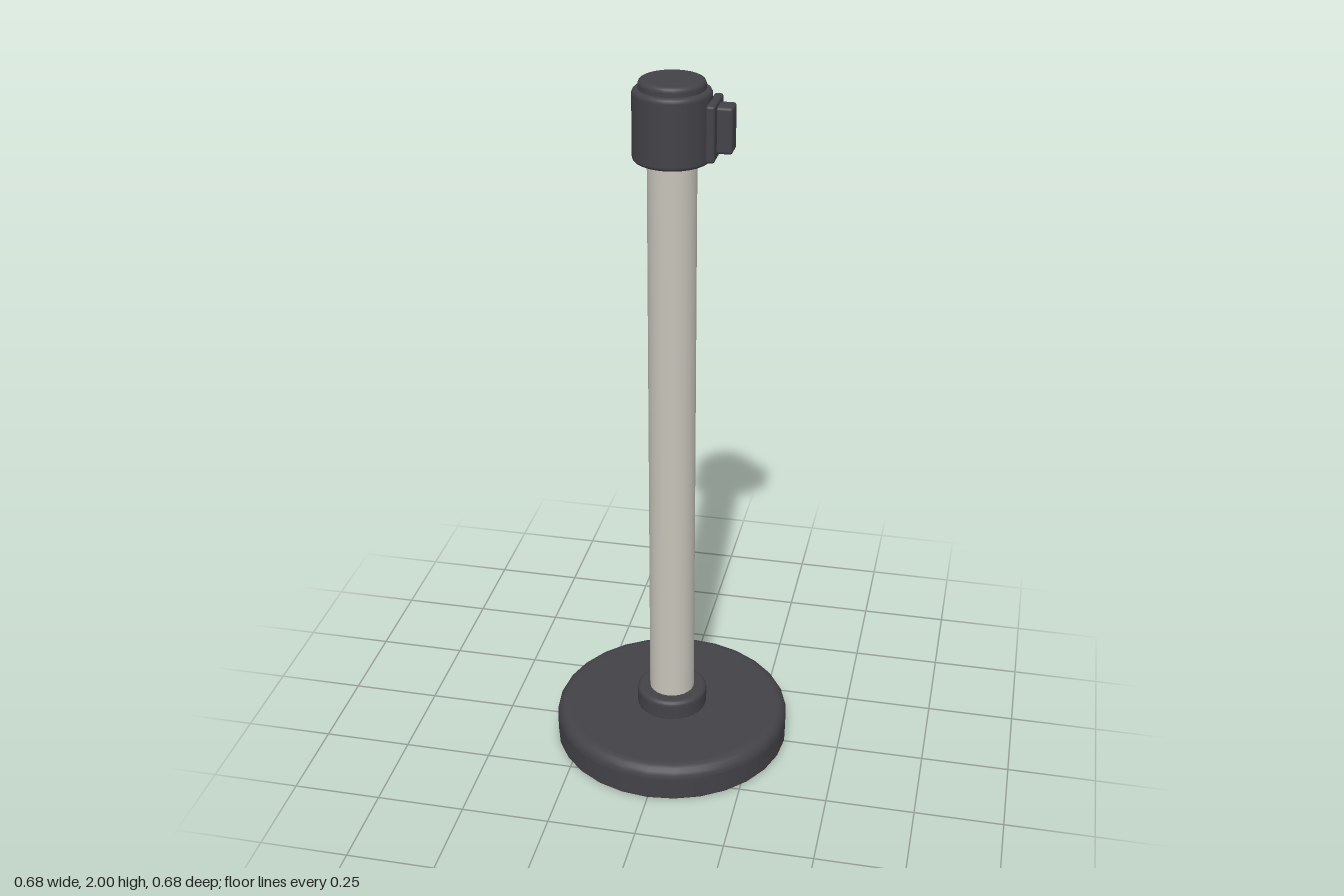
import * as THREE from 'three';
import { RoundedBoxGeometry } from 'three/addons/geometries/RoundedBoxGeometry.js';

const black = new THREE.MeshStandardMaterial({ color: 0x434247 });
black.name = 'black plastic';
const steel = new THREE.MeshStandardMaterial({ color: 0xc6c3b9 });
steel.name = 'brushed steel';

function add(group, name, geometry, material) {
  const mesh = new THREE.Mesh(geometry, material);
  mesh.name = name;
  group.add(mesh);
  return mesh;
}

// Turned disc with rounded rims; extra rings beside each rim keep the flats flat
function disc(radius, y0, y1, bottomRound, topRound, sides) {
  const pts = [new THREE.Vector2(0, y0)];
  const support = 0.002;
  const rim = (r, y, start) => {
    for (let i = 0; i <= 5; i++) {
      const a = start + (i / 5) * Math.PI / 2;
      pts.push(new THREE.Vector2(radius - r + r * Math.cos(a), y + r * Math.sin(a)));
    }
  };
  pts.push(new THREE.Vector2(radius - bottomRound - support, y0));
  rim(bottomRound, y0 + bottomRound, -Math.PI / 2);
  pts.push(new THREE.Vector2(radius, y0 + bottomRound + support));
  pts.push(new THREE.Vector2(radius, y1 - topRound - support));
  rim(topRound, y1 - topRound, 0);
  pts.push(new THREE.Vector2(radius - topRound - support, y1));
  pts.push(new THREE.Vector2(0, y1));
  return new THREE.LatheGeometry(pts, sides);
}

export function createModel() {
  const model = new THREE.Group();
  model.name = 'barrierPost';

  // Weighted foot and collar
  add(model, 'base', disc(0.341, 0, 0.103, 0.004, 0.034, 28), black);
  add(model, 'collar', disc(0.102, 0.1, 0.16, 0.004, 0.014, 28), black);

  // Pole
  const pole = add(model, 'pole', new THREE.CylinderGeometry(0.065, 0.065, 1.66, 24, 1, true), steel);
  pole.position.y = 0.97;

  // Belt housing and its lid
  add(model, 'head', disc(0.103, 1.788, 1.976, 0.01, 0.012, 28), black);
  add(model, 'lid', disc(0.087, 1.97, 2.0, 0.004, 0.012, 28), black);

  // Belt outlet plate and clip on the left side
  const plate = add(model, 'outletPlate', new RoundedBoxGeometry(0.024, 0.148, 0.124, 3, 0.007), black);
  plate.position.set(0.109, 1.878, 0);
  const clip = add(model, 'beltClip', new RoundedBoxGeometry(0.046, 0.122, 0.06, 3, 0.008), black);
  clip.position.set(0.138, 1.88, 0);

  return model;
}
